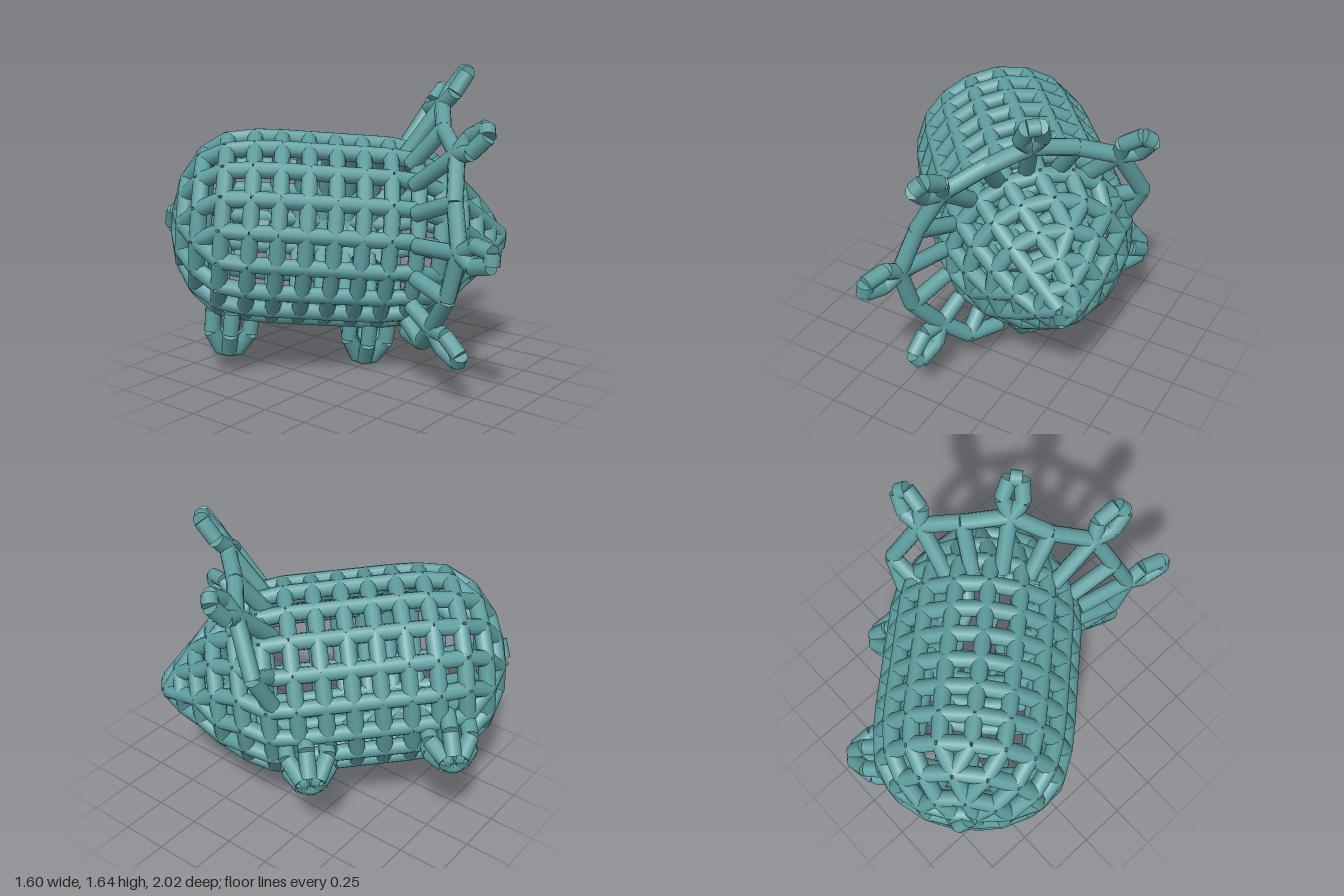
import * as THREE from 'three';
import { mergeGeometries } from 'three/addons/utils/BufferGeometryUtils.js';

const material = new THREE.MeshStandardMaterial({ color: 0x5f9ea0 });
const V = (x, y, z) => new THREE.Vector3(x, y, z);
const UP = V(0, 1, 0);
const BEAD = 0.043;

// One tubular bead running from a to b
function bead(a, b, radius = BEAD) {
  const dir = b.clone().sub(a);
  const g = new THREE.CylinderGeometry(radius, radius, dir.length(), 9);
  g.applyQuaternion(new THREE.Quaternion().setFromUnitVectors(UP, dir.normalize()));
  const mid = a.clone().add(b).multiplyScalar(0.5);
  return g.translate(mid.x, mid.y, mid.z);
}

function part(name, beads) {
  const mesh = new THREE.Mesh(mergeGeometries(beads), material);
  mesh.name = name;
  return mesh;
}

// Beads along a row of points
function chain(points, closed = false, radius = BEAD) {
  const out = [];
  for (let i = 0; i < points.length - (closed ? 0 : 1); i++) {
    out.push(bead(points[i], points[(i + 1) % points.length], radius));
  }
  return out;
}

// Point at an angle from the animal's up, at a radius and a place along its length
const polar = (deg, r, z) => {
  const a = THREE.MathUtils.degToRad(deg);
  return V(r * Math.sin(a), r * Math.cos(a), z);
};

// Woven barrel: rings [z, radius, bead count], joined by lengthwise beads
function buildBody() {
  const rings = [
    [-0.76, 0.08, 4], [-0.73, 0.22, 9], [-0.65, 0.36, 14], [-0.53, 0.45, 18],
    [-0.39, 0.475, 18], [-0.25, 0.48, 18], [-0.11, 0.48, 18], [0.03, 0.48, 18],
    [0.17, 0.48, 18], [0.31, 0.48, 18], [0.45, 0.46, 18], [0.58, 0.395, 16],
    [0.70, 0.305, 13], [0.80, 0.205, 9], [0.89, 0.115, 6], [0.96, 0.045, 3],
  ];
  const rows = rings.map(([z, r, n]) =>
    Array.from({ length: n }, (_, i) => polar((i * 360) / n, r, z)));
  const beads = [];
  rows.forEach((row, k) => {
    beads.push(...chain(row, true));
    if (k === 0) return;
    const prev = rows[k - 1];
    const [many, few] = row.length >= prev.length ? [row, prev] : [prev, row];
    many.forEach((p, i) => {
      const j = Math.round((i * few.length) / many.length) % few.length;
      beads.push(bead(p, few[j]));
    });
  });
  return part('wovenBody', beads);
}

// Forward-leaning fan behind the head
function frillPoint(deg, r) {
  const p = polar(deg, r, 0.42 + (r - 0.48) * 0.62);
  p.z -= 0.09 * p.x;
  return p;
}

function buildFrill() {
  const group = new THREE.Group();
  group.name = 'frill';
  // Rim joints as [angle, radius]; every second one carries a spike
  const joints = [[-101, 0.58], [-82, 0.60], [-60, 0.66], [-39, 0.71], [-19, 0.69], [1, 0.73],
    [20, 0.69], [38, 0.74], [57, 0.71], [75, 0.73], [100, 0.65]];
  const rim = joints.map(([d, r]) => frillPoint(d, r));
  group.add(part('frillRim', chain([frillPoint(-118, 0.5), ...rim, frillPoint(118, 0.5)])));
  group.add(part('frillSpokes', joints.map(([d], i) => bead(frillPoint(d, 0.46), rim[i]))));
  // Pointed loops of beads
  for (let i = 1; i < joints.length; i += 2) {
    const [d, r] = joints[i];
    const side = polar(d + 90, 1, 0);
    const at = (w, h) => frillPoint(d, r + h).addScaledVector(side, w);
    const loop = [at(0, 0), at(0.052, 0.08), at(0.03, 0.18), at(-0.03, 0.18), at(-0.052, 0.08)];
    group.add(part('frillSpike', chain(loop, true, 0.042)));
  }
  return group;
}

// Stubby paw: beads flare out from the body, then gather at a small tip ring
function buildLeg(name, tip) {
  const dir = V(tip.x, tip.y, 0).normalize();
  const side = V(-dir.y, dir.x, 0);
  const ring = (reach, r) => Array.from({ length: 6 }, (_, i) => {
    const a = (i * Math.PI) / 3;
    return dir.clone().multiplyScalar(reach).addScaledVector(side, r * Math.cos(a))
      .add(V(0, 0, tip.z + r * Math.sin(a)));
  });
  const base = ring(0.46, 0.12), knee = ring(0.575, 0.115), toe = ring(tip.length2d, 0.045);
  return part(name, [...base.flatMap((p, i) => chain([p, knee[i], toe[i]])),
    ...chain(toe, true, 0.035)]);
}

// Toe position across the body and along it
const toeAt = (x, y, z) => Object.assign(V(x, y, z), { length2d: Math.hypot(x, y) });

export function createModel() {
  const animal = new THREE.Group();
  animal.name = 'beadedAnimal';
  const torso = new THREE.Group();
  torso.name = 'torso';
  torso.position.set(0.03, -0.015, -0.015);
  torso.rotation.y = 0.03;
  // Short tail loop
  const tail = part('tail', chain(
    [V(0, 0.08, -0.75), V(0.02, 0.06, -0.79), V(0, -0.04, -0.8), V(0, -0.08, -0.75)]));
  torso.add(buildBody(), tail);
  animal.add(torso, buildFrill());
  animal.add(
    buildLeg('frontRightLeg', toeAt(-0.45, -0.52, 0.28)),
    buildLeg('frontLeftLeg', toeAt(0.32, -0.61, 0.26)),
    buildLeg('rearRightLeg', toeAt(-0.50, -0.46, -0.46)),
    buildLeg('rearLeftLeg', toeAt(0.34, -0.58, -0.45)),
  );

  // Tilted resting pose
  const forward = V(0.65, -0.10, 0.75).normalize();
  const left = V(0.60, 0.664, -0.433).normalize();
  const up = forward.clone().cross(left).normalize();
  left.crossVectors(up, forward);
  animal.quaternion.setFromRotationMatrix(new THREE.Matrix4().makeBasis(left, up, forward));
  animal.position.set(-0.065, 0.78, -0.165);

  const model = new THREE.Group();
  model.name = 'model';
  model.add(animal);
  // Rest the lowest toe on the floor
  model.updateMatrixWorld(true);
  animal.position.y -= new THREE.Box3().setFromObject(model, true).min.y;
  return model;
}
